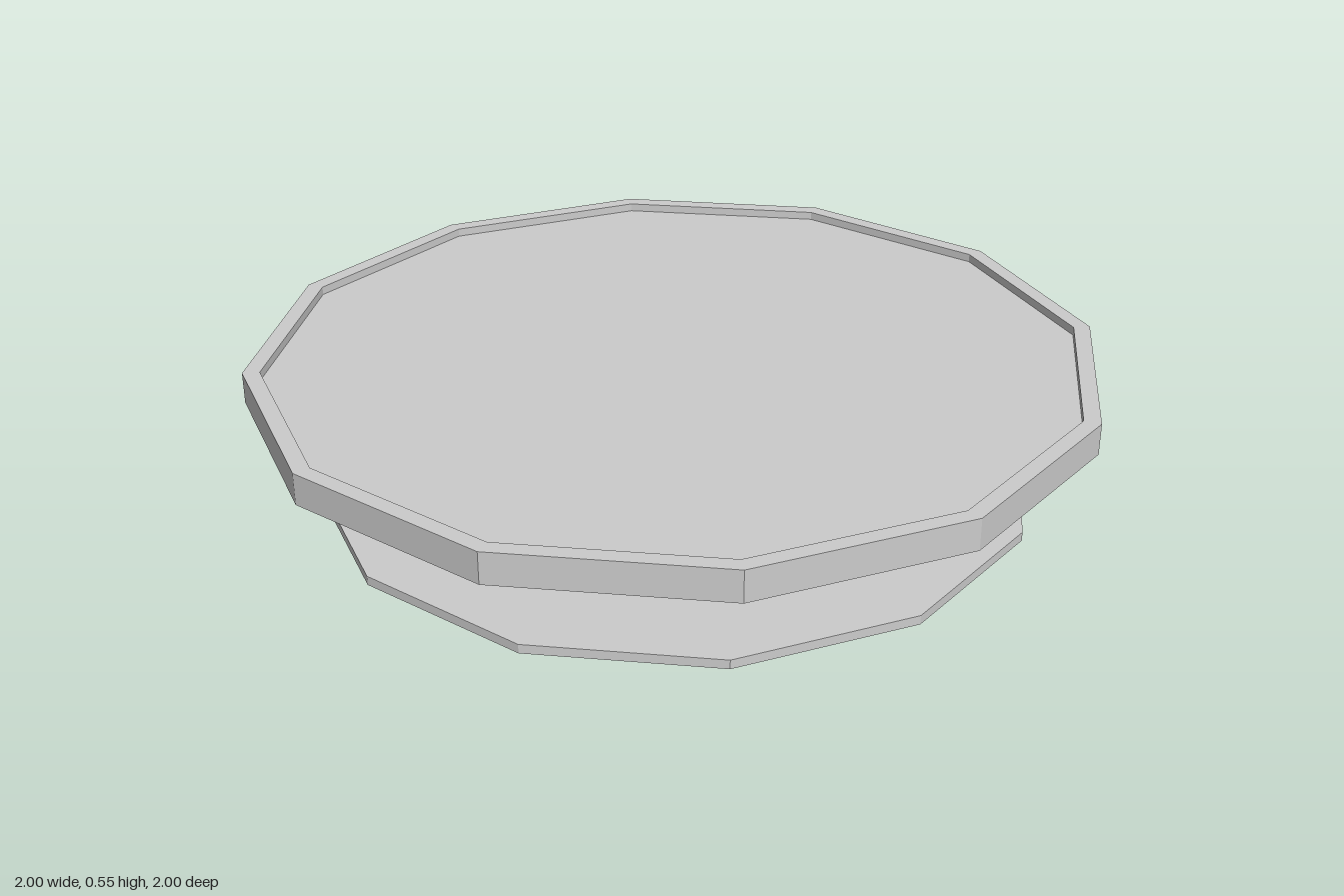
import * as THREE from 'three';

const SIDES = 12;

export function createModel() {
  const group = new THREE.Group();
  group.name = 'roundTable';
  const material = new THREE.MeshStandardMaterial({
    color: 0xcccccc, flatShading: true, side: THREE.DoubleSide,
  });

  // Turn a [radius, height] profile, listed bottom to top, into a faceted part
  const addTurned = (name, profile) => {
    const points = profile.map(([r, y]) => new THREE.Vector2(r, y));
    const mesh = new THREE.Mesh(new THREE.LatheGeometry(points, SIDES), material);
    mesh.name = name;
    group.add(mesh);
  };

  // Hollow flared foot, open at the bottom
  addTurned('foot', [[0.445, 0], [0.30, 0.22]]);

  // Thin shelf with a hole in the middle
  addTurned('shelf', [[0.26, 0.218], [0.85, 0.218], [0.85, 0.24], [0.26, 0.24], [0.26, 0.218]]);

  // Hollow neck widening up to the top
  addTurned('neck', [[0.29, 0.24], [0.365, 0.47]]);

  // Table top with a shallow recess inside a raised rim
  addTurned('tableTop', [[0, 0.47], [1, 0.47], [1, 0.545], [0.96, 0.545], [0.96, 0.525], [0, 0.525]]);

  return group;
}
